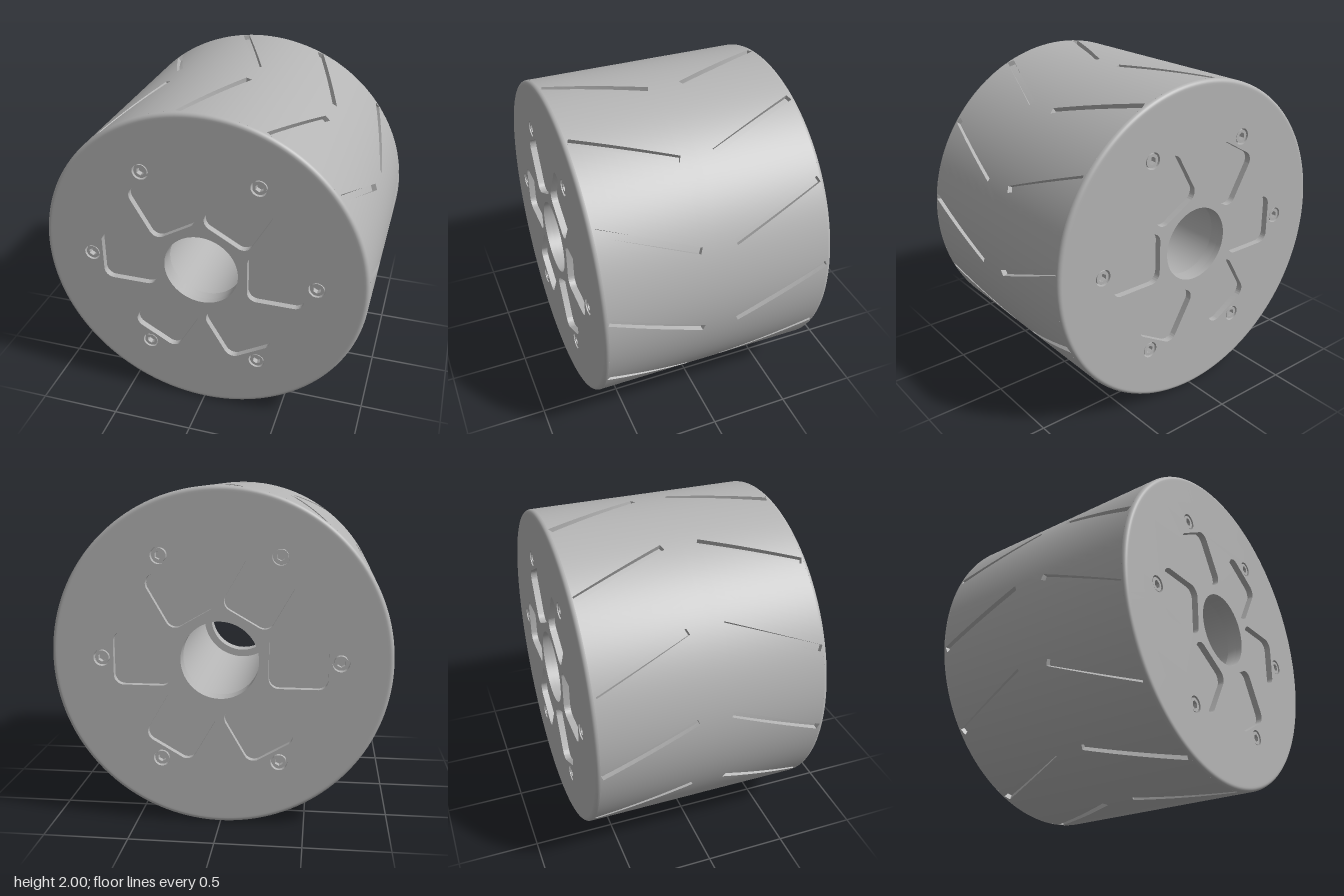
import * as THREE from 'three';
import { toCreasedNormals } from 'three/addons/utils/BufferGeometryUtils.js';

const HALF = 0.71;        // half width of the wheel
const FILLET = 0.025;     // shoulder rounding
const FACE_R = 0.83;      // radius of the hub face
const BORE_R = 0.23;
const SLOPE = 0.42;       // groove lean, radians per unit of width
const GROOVE_H = 0.0217;  // half groove width, in radians
const GROOVE_D = 0.03;

const grey = new THREE.MeshStandardMaterial({ color: 0xb4b4b4, side: THREE.DoubleSide });
grey.name = 'grey';

function add(parent, name, geometry) {
  const mesh = new THREE.Mesh(geometry, grey);
  mesh.name = name;
  parent.add(mesh);
  return mesh;
}

function circle(Type, r, x = 0, y = 0) {
  const path = new Type();
  path.absarc(x, y, r, 0, Math.PI * 2, false);
  return path;
}

function slab(shape, z0, z1, segments = 36) {
  const g = new THREE.ExtrudeGeometry(shape, { depth: z1 - z0, bevelEnabled: false, curveSegments: segments });
  return toCreasedNormals(g.translate(0, 0, z0), 0.6);
}

// Rounded square pocket outline, turned about the axle
function pocket(angle) {
  const [x0, x1, h, r] = [0.285, 0.63, 0.16, 0.06];
  const corners = [[x1 - r, h - r], [x0 + r, h - r], [x0 + r, r - h], [x1 - r, r - h]];
  const path = new THREE.Path();
  corners.forEach(([x, y], i) => {
    const c = new THREE.Vector2(x, y).rotateAround(new THREE.Vector2(), angle);
    const a = angle + i * Math.PI / 2;
    path.absarc(c.x, c.y, r, a, a + Math.PI / 2, false);
  });
  path.closePath();
  return path;
}

// Collects quads of [angle, z, radius] corners into a geometry
function quadGeometry(quads, smooth) {
  const pos = [], nor = [];
  for (const q of quads) {
    for (const i of [0, 1, 2, 0, 2, 3]) {
      const [a, z, r] = q[i];
      pos.push(r * Math.cos(a), r * Math.sin(a), z);
      nor.push(Math.cos(a), Math.sin(a), 0);
    }
  }
  const g = new THREE.BufferGeometry();
  g.setAttribute('position', new THREE.Float32BufferAttribute(pos, 3));
  if (smooth) g.setAttribute('normal', new THREE.Float32BufferAttribute(nor, 3));
  else g.computeVertexNormals();
  return g;
}

// Half of the tread: a grid leaning with the grooves, sunk where a groove runs
function treadHalf(parent, side, name) {
  const skin = [], walls = [];
  const cols = [], rows = [0];
  const steps = 5, edge = Math.PI / 12, grooveRows = 10;
  for (let i = 0; i <= steps; i++) {
    const u = GROOVE_H + (edge - GROOVE_H) * i / steps;
    cols.push(u, -u);
  }
  cols.sort((a, b) => a - b);
  for (let j = 0; j <= grooveRows; j++) rows.push(0.105 + (0.675 - 0.105) * j / grooveRows);
  rows.push(HALF - FILLET);

  for (let k = 0; k < 12; k++) {
    const point = (i, j, r) => {
      const u = cols[i];
      const inGroove = j > 0 && j < rows.length - 1 && Math.abs(u) < GROOVE_H + 1e-6;
      const z = rows[j] - (inGroove ? 0.357 * u : 0); // square groove ends
      return [k * Math.PI / 6 + u + SLOPE * (z - 0.39), side * z, r];
    };
    const wall = (i0, j0, i1, j1) => walls.push([
      point(i0, j0, 1), point(i1, j1, 1), point(i1, j1, 1 - GROOVE_D), point(i0, j0, 1 - GROOVE_D)]);
    for (let i = 0; i < cols.length - 1; i++) {
      for (let j = 0; j < rows.length - 1; j++) {
        const sunk = i === steps && j > 0 && j < rows.length - 2;
        const r = sunk ? 1 - GROOVE_D : 1;
        const q = [point(i, j, r), point(i + 1, j, r), point(i + 1, j + 1, r), point(i, j + 1, r)];
        skin.push(side > 0 ? q : q.reverse());
        if (!sunk) continue;
        wall(i, j, i, j + 1);
        wall(i + 1, j + 1, i + 1, j);
        if (j === 1) wall(i + 1, j, i, j);
        if (j === rows.length - 3) wall(i, j + 1, i + 1, j + 1);
      }
    }
  }
  add(parent, name + 'Tread', quadGeometry(skin, true));
  add(parent, name + 'GrooveWalls', quadGeometry(walls, false));
}

// One end of the wheel, facing +z
function createEnd(name) {
  const end = new THREE.Group();
  end.name = name;

  // Rounded shoulder and flat sidewall
  const profile = [];
  for (let i = 0; i <= 6; i++) {
    const a = i / 6 * Math.PI / 2;
    profile.push(new THREE.Vector2(1 - FILLET + FILLET * Math.cos(a), HALF - FILLET + FILLET * Math.sin(a)));
  }
  profile.push(new THREE.Vector2(0.965, HALF), new THREE.Vector2(FACE_R - 0.001, HALF));
  add(end, 'shoulder', new THREE.LatheGeometry(profile, 144).rotateX(Math.PI / 2));

  // Hub face with pockets and bolt holes, backed by a plain plate
  const face = circle(THREE.Shape, FACE_R);
  face.holes.push(circle(THREE.Path, BORE_R));
  const back = circle(THREE.Shape, FACE_R);
  back.holes.push(circle(THREE.Path, BORE_R));
  const head = circle(THREE.Shape, 0.041);
  const socket = new THREE.Path();
  for (let i = 0; i < 6; i++) {
    const a = i * Math.PI / 3 + Math.PI / 6;
    socket[i ? 'lineTo' : 'moveTo'](0.025 * Math.cos(a), 0.025 * Math.sin(a));
  }
  socket.closePath();
  head.holes.push(socket);
  const headGeometry = slab(head, HALF - 0.04, HALF - 0.005, 16);

  for (let i = 0; i < 6; i++) {
    const a = i * Math.PI / 3;
    const x = 0.7 * Math.cos(a), y = 0.7 * Math.sin(a);
    face.holes.push(pocket(a), circle(THREE.Path, 0.05, x, y));
    add(end, 'bolt', headGeometry).position.set(x, y, 0);
  }
  add(end, 'hubFace', slab(face, HALF - 0.04, HALF));
  add(end, 'hubPlate', slab(back, HALF - 0.1, HALF - 0.04));
  return end;
}

export function createModel() {
  const wheel = new THREE.Group();
  wheel.name = 'wheel';
  const body = new THREE.Group();
  body.name = 'body';
  body.position.y = 1;
  wheel.add(body);

  treadHalf(body, 1, 'front');
  treadHalf(body, -1, 'back');

  const back = createEnd('backEnd');
  back.rotation.y = Math.PI;
  body.add(createEnd('frontEnd'), back);

  // Wider bore behind the end plates
  const bore = new THREE.CylinderGeometry(0.28, 0.28, 2 * (HALF - 0.1), 72, 1, true);
  add(body, 'bore', bore.rotateX(Math.PI / 2));
  return wheel;
}
